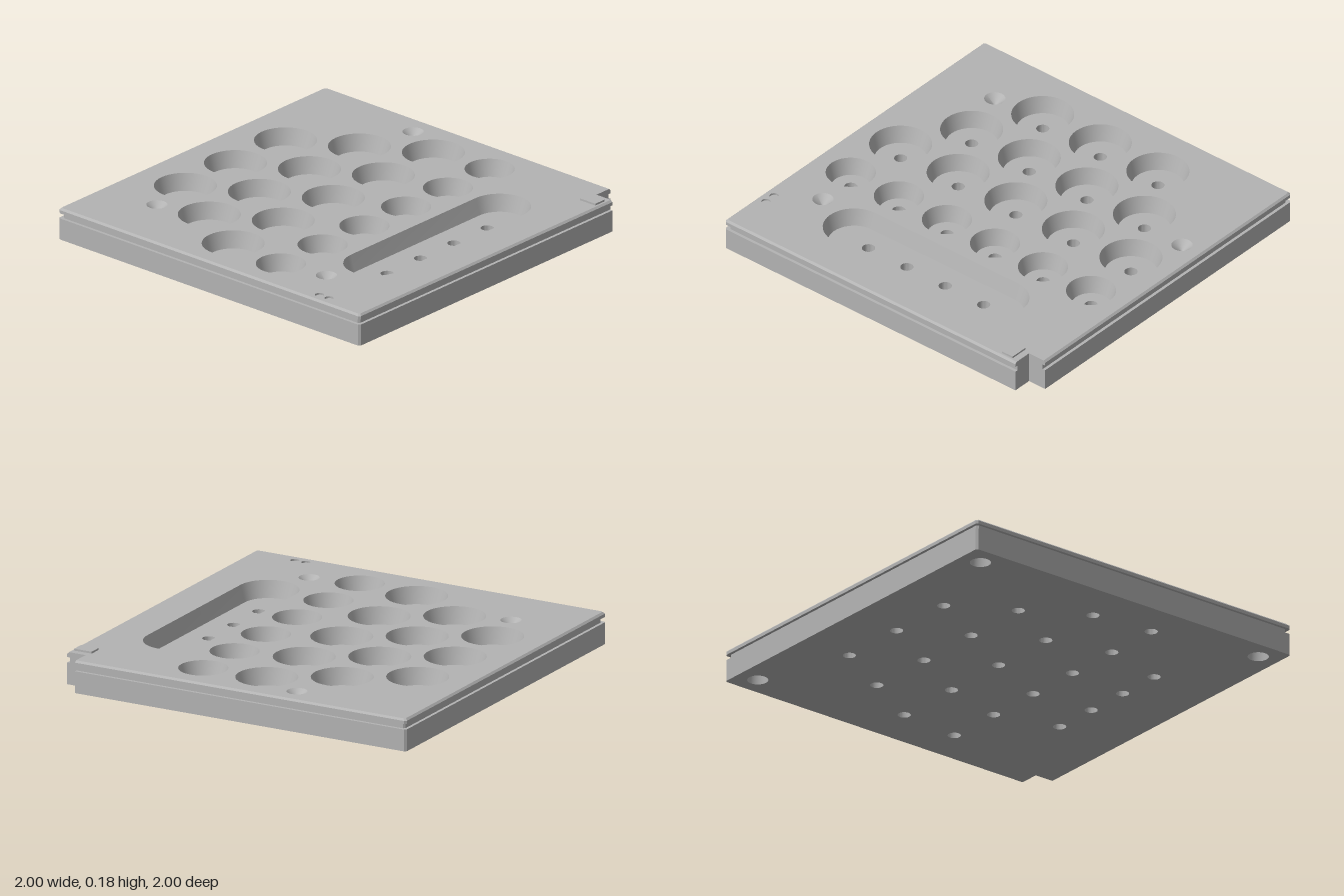
import * as THREE from 'three';
import { mergeGeometries, toCreasedNormals } from 'three/addons/utils/BufferGeometryUtils.js';

const TOP = 0.169, FLOOR = 0.082;

// Closed loops of (x, z) points, running from +x towards +z.
const P = (x, z) => new THREE.Vector2(x, z);
const circle = (x, z, r, n = 40) => Array.from({ length: n }, (_, i) => {
  const a = (i / n) * Math.PI * 2;
  return P(x + r * Math.cos(a), z + r * Math.sin(a));
});
const slot = (z, half, r, n = 20) => {
  const pts = [];
  for (const s of [1, -1]) {
    for (let i = 0; i <= n; i++) {
      const a = -Math.PI / 2 + (i / n) * Math.PI;
      pts.push(P(s * (half + r * Math.cos(a)), z + s * r * Math.sin(a)));
    }
  }
  return pts;
};
// Square plate with one notched corner; the other corners are slightly cut.
const outline = (inset) => {
  const o = 1 - inset, n = 0.895, c = 0.01;
  return [P(o, n), P(n, n), P(n, o), P(c - o, o), P(-o, o - c),
    P(-o, c - o), P(c - o, -o), P(o - c, -o), P(o, c - o)];
};

// Flat sheet at height y, with holes, facing up or down.
function sheet(loop, holes, y, up) {
  const map = (l) => l.map((p) => P(p.x, up ? -p.y : p.y));
  const shape = new THREE.Shape(map(loop));
  shape.holes = holes.map((h) => new THREE.Path(map(h)));
  return new THREE.ShapeGeometry(shape).rotateX(up ? -Math.PI / 2 : Math.PI / 2)
    .translate(0, y, 0).toNonIndexed();
}

// Wall through rings [loop, y]: rising rings face inward, falling rings outward.
function wall(rings) {
  const strips = [];
  for (let k = 0; k + 1 < rings.length; k++) {
    const [a, ya] = rings[k], [b, yb] = rings[k + 1], pos = [];
    a.forEach((_, i) => {
      const j = (i + 1) % a.length;
      const p = [a[i].x, ya, a[i].y], q = [a[j].x, ya, a[j].y];
      const r = [b[j].x, yb, b[j].y], s = [b[i].x, yb, b[i].y];
      pos.push(...p, ...q, ...r, ...p, ...r, ...s);
    });
    const g = new THREE.BufferGeometry();
    g.setAttribute('position', new THREE.Float32BufferAttribute(pos, 3));
    strips.push(toCreasedNormals(g, Math.PI / 6));
  }
  return mergeGeometries(strips);
}

export function createModel() {
  const group = new THREE.Group();
  const grey = new THREE.MeshStandardMaterial({ color: 0xb3b3b3 });
  grey.name = 'plate grey';
  const add = (name, geometry) => {
    const mesh = new THREE.Mesh(geometry, grey);
    mesh.name = name;
    group.add(mesh);
    return mesh;
  };
  const topHoles = [], bottomHoles = [];

  // A tapered pocket with drain holes through its floor
  function pocket(name, rim, base, drains) {
    const loops = drains.map(([x, z]) => circle(x, z, 0.033, 24));
    topHoles.push(rim);
    bottomHoles.push(...loops);
    add(name + 'Wall', wall([[base, FLOOR], [rim, TOP]]));
    add(name + 'Floor', sheet(base, loops, FLOOR, true));
    loops.forEach((l) => add(name + 'Drain', wall([[l, 0], [l, FLOOR]])));
  }

  // Rows of round pockets: count, spacing, z, rim radius, floor radius
  const rows = [
    [3, 0.375, -0.71, 0.157, 0.132],
    [4, 0.375, -0.385, 0.157, 0.132],
    [5, 0.375, -0.06, 0.157, 0.132],
    [6, 0.313, 0.285, 0.125, 0.1],
  ];
  for (const [count, step, z, rim, base] of rows) {
    for (let i = 0; i < count; i++) {
      const x = (i - (count - 1) / 2) * step;
      pocket('roundPocket', circle(x, z, rim), circle(x, z, base), [[x, z]]);
    }
  }

  // Long pocket
  pocket('longPocket', slot(0.63, 0.468, 0.157), slot(0.63, 0.468, 0.132),
    [-0.375, -0.125, 0.125, 0.375].map((x) => [x, 0.63]));

  // Conical dimples
  for (const [x, z] of [[-0.645, -0.66], [0.875, -0.305], [-0.74, 0.55]]) {
    const rim = circle(x, z, 0.053, 28);
    topHoles.push(rim);
    add('coneDimple', wall([[circle(x, z, 0.0005, 28), TOP - 0.045], [rim, TOP]]));
  }

  // Two shallow index dots
  for (const z of [0.685, 0.748]) {
    const rim = circle(-0.943, z, 0.023, 24);
    topHoles.push(rim);
    add('indexDotWall', wall([[rim, TOP - 0.01], [rim, TOP]]));
    add('indexDotFloor', sheet(rim, [], TOP - 0.01, true));
  }

  // Blind holes under the three full corners
  for (const [x, z] of [[0.885, -0.885], [-0.885, -0.885], [-0.885, 0.885]]) {
    const rim = circle(x, z, 0.053, 32);
    bottomHoles.push(rim);
    add('cornerHoleWall', wall([[rim, 0], [rim, 0.06]]));
    add('cornerHoleCeiling', sheet(rim, [], 0.06, false));
  }

  // Plate: chamfered top edge and a square groove around the sides
  const full = outline(0), chamfer = outline(0.01), groove = outline(0.016);
  add('plateSides', wall([[chamfer, TOP], [full, TOP - 0.01], [full, 0.142],
    [groove, 0.142], [groove, 0.114], [full, 0.114], [full, 0]]));
  add('plateTop', sheet(chamfer, topHoles, TOP, true));
  add('plateBottom', sheet(full, bottomHoles, 0, false));

  // Small raised marker beside the notch
  add('raisedMarker', new THREE.BoxGeometry(0.07, 0.01, 0.1))
    .position.set(0.825, TOP + 0.005, 0.93);

  return group;
}
